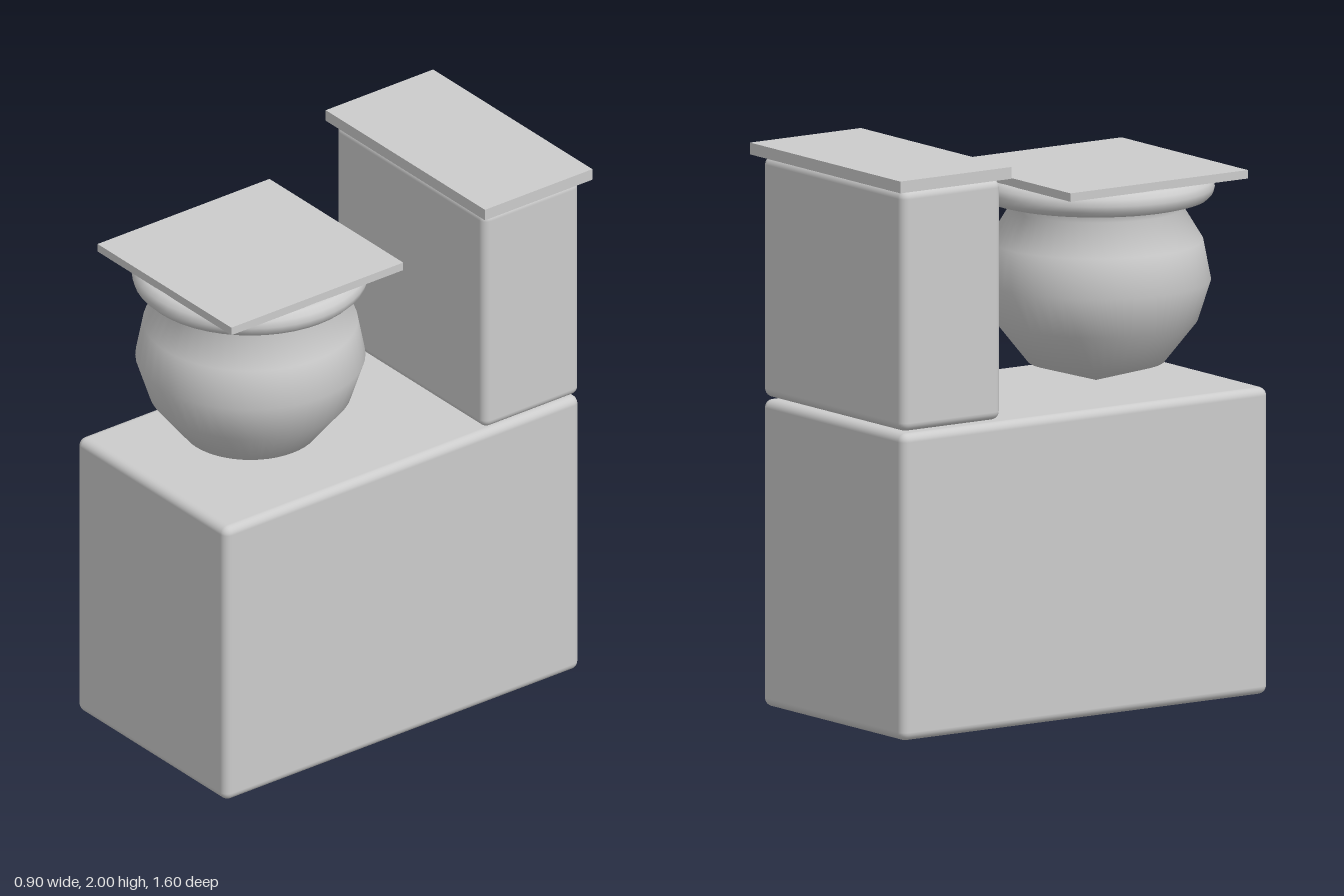
import * as THREE from 'three';
import { RoundedBoxGeometry } from 'three/addons/geometries/RoundedBoxGeometry.js';

export function createModel() {
  const model = new THREE.Group();
  const material = new THREE.MeshStandardMaterial({ color: 0xcccccc });
  const doubleSided = new THREE.MeshStandardMaterial({ color: 0xcccccc, side: THREE.DoubleSide });

  const add = (name, geometry, x, y, z, mat = material) => {
    const mesh = new THREE.Mesh(geometry, mat);
    mesh.name = name;
    mesh.position.set(x, y, z);
    model.add(mesh);
    return mesh;
  };

  // Pedestal and the tank at its back, both with softly rounded edges
  add('pedestal', new RoundedBoxGeometry(0.85, 1.09, 1.57, 3, 0.03), 0, 0.547, 0.015);
  add('tank', new RoundedBoxGeometry(0.85, 0.855, 0.425, 3, 0.03), 0, 1.528, -0.557);
  add('tankLid', new THREE.BoxGeometry(0.905, 0.042, 0.475), 0, 1.979, -0.5625);

  // Round bowl with a narrow neck flaring into the rim
  const bowlZ = 0.36;
  const profile = [
    [0, 1.1], [0.24, 1.17], [0.355, 1.315], [0.402, 1.46],
    [0.375, 1.6], [0.305, 1.715], [0.37, 1.79],
  ].map(([r, y]) => new THREE.Vector2(r, y));
  add('bowl', new THREE.LatheGeometry(profile, 48), 0, 0, bowlZ, doubleSided);

  // Rim ring and the flat square seat lid resting on it
  const rim = add('rim', new THREE.TorusGeometry(0.37, 0.045, 12, 48), 0, 1.791, bowlZ);
  rim.rotation.x = Math.PI / 2;
  add('seatLid', new THREE.BoxGeometry(0.76, 0.03, 0.76), 0, 1.847, bowlZ);

  return model;
}
